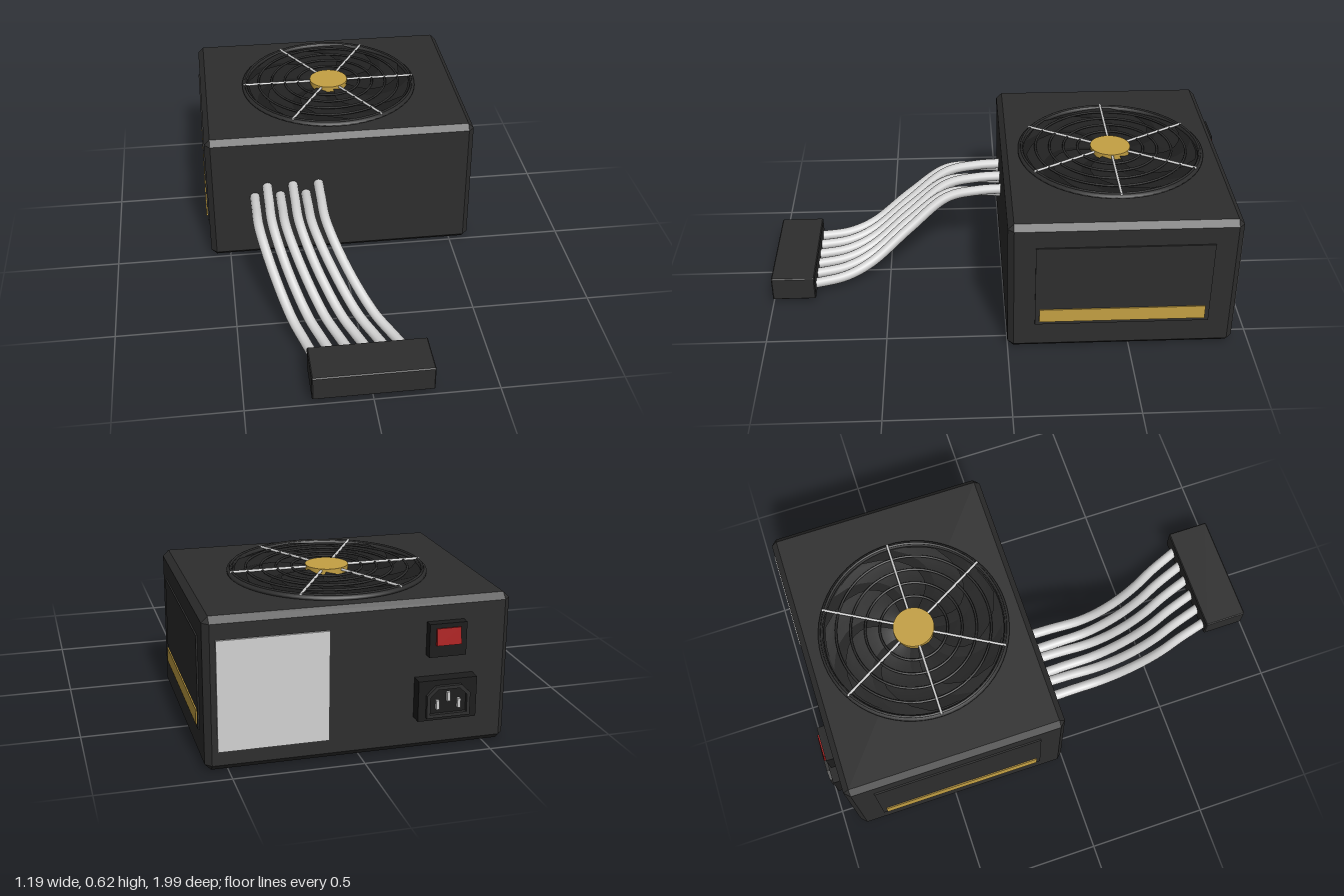
import * as THREE from 'three';
import { ConvexGeometry } from 'three/addons/geometries/ConvexGeometry.js';

const mat = (name, color, side = THREE.FrontSide) => {
  const m = new THREE.MeshStandardMaterial({ color, side });
  m.name = name;
  return m;
};

export function createModel() {
  const group = new THREE.Group();
  const casing = mat('casing charcoal', 0x2d2d2d);
  const black = mat('black plastic', 0x1c1c1c);
  const bladeMat = mat('blade black', 0x222222, THREE.DoubleSide);
  const gold = mat('gold', 0xc4a043);
  const silver = mat('light grey', 0xd2d2d2);
  const red = mat('switch red', 0xa81a1a);

  const add = (name, geo, material, x = 0, y = 0, z = 0, parent = group) => {
    const m = new THREE.Mesh(geo, material);
    m.name = name;
    m.position.set(x, y, z);
    parent.add(m);
    return m;
  };
  const box = (name, material, w, h, d, x, y, z, parent) =>
    add(name, new THREE.BoxGeometry(w, h, d), material, x, y, z, parent);

  // Box with every edge and corner chamfered
  const chamferBox = (w, h, d, c) => {
    const half = [w / 2, h / 2, d / 2], pts = [];
    for (const sx of [-1, 1]) for (const sy of [-1, 1]) for (const sz of [-1, 1])
      for (let k = 0; k < 3; k++) {
        const p = half.map((v, i) => (i === k ? v : v - c));
        pts.push(new THREE.Vector3(p[0] * sx, p[1] * sy, p[2] * sz));
      }
    return new ConvexGeometry(pts);
  };
  add('casing', chamferBox(1.17, 0.595, 0.93, 0.024), casing, 0, 0.2975, -0.465);

  // Side panels with gold stripes
  for (const s of [-1, 1]) {
    box('sidePanel', casing, 0.01, 0.37, 0.71, s * 0.586, 0.31, -0.465);
    box('sideStripe', gold, 0.008, 0.06, 0.675, s * 0.592, 0.17, -0.465);
  }

  // Fan on the top
  const fan = new THREE.Group();
  fan.name = 'fan';
  fan.position.set(0, 0.595, -0.465);
  group.add(fan);
  const disc = add('fanWell', new THREE.CircleGeometry(0.38, 64), black, 0, 0.002, 0, fan);
  disc.rotation.x = -Math.PI / 2;
  const rimProfile = [[0.372, 0], [0.395, 0], [0.395, 0.009], [0.384, 0.016], [0.372, 0.016], [0.372, 0]];
  add('fanRim', new THREE.LatheGeometry(rimProfile.map(p => new THREE.Vector2(...p)), 64), casing, 0, 0, 0, fan);

  // Swept fan blades, tilted from leading to trailing edge
  const bladeCount = 7, n = 10;
  const pos = [], idx = [];
  for (let i = 0; i <= n; i++) {
    const t = i / n, r = 0.08 + 0.285 * t;
    const sweep = -0.85 * t * t;
    const width = 0.5 + 0.2 * Math.sin(t * Math.PI);
    for (let j = 0; j <= 4; j++) {
      const a = sweep + width * (j / 4);
      pos.push(r * Math.cos(a), 0.004 + 0.011 * (j / 4), r * Math.sin(a));
      if (i < n && j < 4) {
        const k = i * 5 + j;
        idx.push(k, k + 1, k + 5, k + 1, k + 6, k + 5);
      }
    }
  }
  const bladeGeo = new THREE.BufferGeometry();
  bladeGeo.setAttribute('position', new THREE.Float32BufferAttribute(pos, 3));
  bladeGeo.setIndex(idx);
  bladeGeo.computeVertexNormals();
  for (let i = 0; i < bladeCount; i++)
    add('fanBlade', bladeGeo, bladeMat, 0, 0, 0, fan).rotation.y = i * Math.PI * 2 / bladeCount;

  // Wire grille: rings, spokes and hub cap
  for (const r of [0.14, 0.2, 0.26, 0.32, 0.38])
    add('grilleRing', new THREE.TorusGeometry(r, 0.005, 6, 64), casing, 0, 0.017, 0, fan).rotation.x = Math.PI / 2;
  for (let i = 0; i < 6; i++) {
    const a = i * Math.PI / 3;
    const spoke = add('grilleSpoke', new THREE.CylinderGeometry(0.0055, 0.0055, 0.32, 8), silver,
      Math.cos(a) * 0.23, 0.018, Math.sin(a) * 0.23, fan);
    spoke.rotation.set(0, -a, Math.PI / 2);
  }
  add('hubCap', new THREE.CylinderGeometry(0.085, 0.085, 0.024, 48), gold, 0, 0.014, 0, fan);

  // Rating label on the back
  box('backLabel', silver, 0.42, 0.43, 0.008, 0.33, 0.295, -0.934);

  // Power switch
  box('switchFrame', black, 0.145, 0.13, 0.035, -0.325, 0.445, -0.947);
  const rocker = box('switchRocker', red, 0.095, 0.065, 0.02, -0.325, 0.46, -0.965);
  rocker.rotation.x = 0.12;

  // Power inlet: flange, notched collar around a recess, three pins
  box('inletFlange', black, 0.23, 0.16, 0.05, -0.325, 0.215, -0.955);
  const outline = (w, h, c) => [[-w, -h], [w, -h], [w, h - c], [w - c, h], [-w + c, h], [-w, h - c]]
    .map(p => new THREE.Vector2(...p));
  const collar = new THREE.Shape(outline(0.085, 0.062, 0.035));
  collar.holes.push(new THREE.Path(outline(0.072, 0.049, 0.029)));
  add('inletCollar', new THREE.ExtrudeGeometry(collar, { depth: 0.015, bevelEnabled: false }),
    casing, -0.325, 0.212, -0.994);
  for (const [x, y] of [[-0.042, -0.012], [0, 0.018], [0.042, -0.012]])
    box('inletPin', silver, 0.012, 0.036, 0.014, -0.325 + x, 0.212 + y, -0.986);

  // Cable bundle from the front to the connector
  for (let i = 0; i < 6; i++) {
    const upper = i % 2 === 1;
    const x0 = -0.38 + i * 0.056, dx = -0.2 + i * 0.075 - x0;
    const path = [
      [0, -0.02, upper ? 0.355 : 0.305], [0, 0.1, upper ? 0.348 : 0.312], [0.02, 0.24, upper ? 0.318 : 0.303],
      [0.25, 0.41, 0.2], [0.58, 0.58, 0.085], [0.8, 0.69, 0.056], [1.02, 0.84, 0.06],
    ].map(([f, z, y]) => new THREE.Vector3(x0 + dx * f, y, z));
    add('cable', new THREE.TubeGeometry(new THREE.CatmullRomCurve3(path), 48, 0.022, 12), silver);
  }

  // Connector block
  add('connector', chamferBox(0.48, 0.106, 0.185, 0.004), casing, 0, 0.077, 0.9075);

  return group;
}
